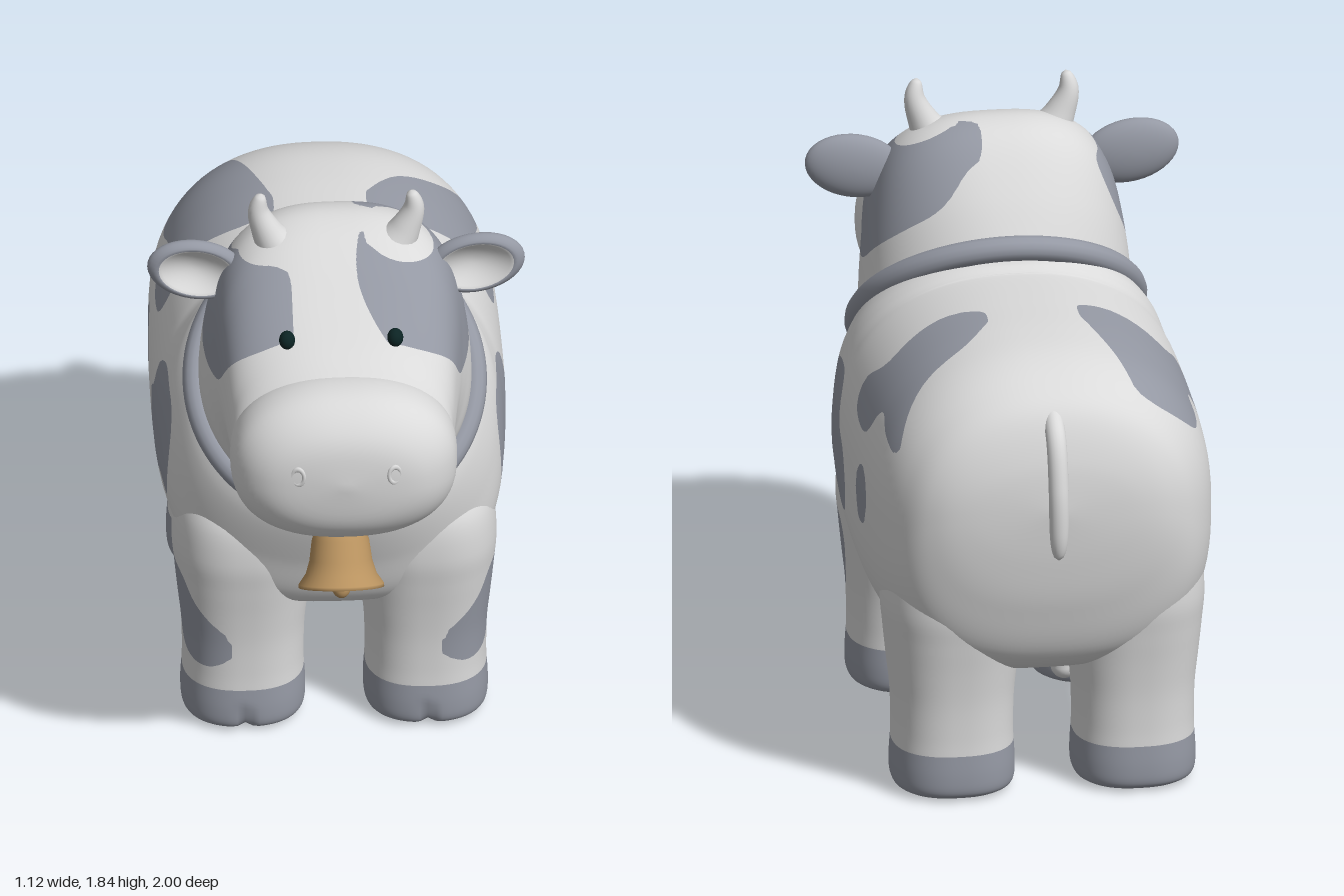
import * as THREE from 'three';
import { mergeVertices } from 'three/addons/utils/BufferGeometryUtils.js';

const material = (name, color) => Object.assign(new THREE.MeshStandardMaterial({ color }), { name });
const V = (x, y, z) => new THREE.Vector3(x, y, z);

// Welds seams and gives smooth normals
function smooth(geo) {
  geo.deleteAttribute('uv');
  geo.deleteAttribute('normal');
  const g = mergeVertices(geo, 1e-5);
  g.computeVertexNormals();
  return g;
}

// Skins cross-sections [topZ, topY, bottomZ, bottomY, halfWidth, upperPower, lowerPower]
function loft(rings, steps = 5, sides = 72) {
  const pos = [], index = [], n = (rings.length - 1) * steps;
  const spline = (a, b, c, d, t) =>
    b + 0.5 * t * (c - a + t * (2 * a - 5 * b + 4 * c - d + t * (3 * (b - c) + d - a)));
  const at = (i) => rings[Math.max(0, Math.min(rings.length - 1, i))];
  for (let i = 0; i <= n; i++) {
    const k = Math.min(Math.floor(i / steps), rings.length - 2), t = i / steps - k;
    const [tz, ty, bz, by, w, pu, pl] =
      at(k).map((v, c) => spline(at(k - 1)[c], v, at(k + 1)[c], at(k + 2)[c], t));
    for (let j = 0; j < sides; j++) {
      const a = (j / sides) * Math.PI * 2, c = Math.cos(a), s = Math.sin(a);
      const e = 2 / (s >= 0 ? pu : pl);
      const u = Math.sign(s) * Math.abs(s) ** e;
      pos.push(w * Math.sign(c) * Math.abs(c) ** e,
        (ty + by) / 2 + (u * (ty - by)) / 2, (tz + bz) / 2 + (u * (tz - bz)) / 2);
      if (i < n) {
        const p = i * sides + j, q = i * sides + ((j + 1) % sides);
        index.push(p, q, p + sides, q, q + sides, p + sides);
      }
    }
  }
  const g = new THREE.BufferGeometry();
  g.setAttribute('position', new THREE.Float32BufferAttribute(pos, 3));
  g.setIndex(index);
  return smooth(g);
}

// Round tube whose radius follows a rule along its length
function sweep(points, radius, seg = 28, sides = 20) {
  const curve = new THREE.CatmullRomCurve3(points);
  const g = new THREE.TubeGeometry(curve, seg, 1, sides), p = g.attributes.position;
  for (let i = 0; i < p.count; i++) {
    const t = Math.floor(i / (sides + 1)) / seg, c = curve.getPointAt(t);
    const v = V().fromBufferAttribute(p, i).sub(c).multiplyScalar(radius(t)).add(c);
    p.setXYZ(i, v.x, v.y, v.z);
  }
  return smooth(g);
}

// Cuts the surface where the field changes sign: group 0 outside, group 1 inside
function paint(geo, field) {
  const src = geo.toNonIndexed(), P = src.attributes.position, N = src.attributes.normal;
  const out = [[], []];
  for (let i = 0; i < P.count; i += 3) {
    const tri = [i, i + 1, i + 2].map((k) => {
      const p = [P.getX(k), P.getY(k), P.getZ(k)];
      return [...p, N.getX(k), N.getY(k), N.getZ(k), field(...p) || 1e-6];
    });
    [-1, 1].forEach((sign, side) => {
      const poly = [];
      tri.forEach((a, k) => {
        const b = tri[(k + 1) % 3];
        if (a[6] * sign > 0) poly.push(a);
        if (a[6] * b[6] < 0) poly.push(a.map((v, c) => v + ((b[c] - v) * a[6]) / (a[6] - b[6])));
      });
      for (let k = 1; k < poly.length - 1; k++) out[side].push(poly[0], poly[k], poly[k + 1]);
    });
  }
  const all = [...out[0], ...out[1]], g = new THREE.BufferGeometry();
  g.setAttribute('position', new THREE.Float32BufferAttribute(all.flatMap((v) => v.slice(0, 3)), 3));
  g.setAttribute('normal', new THREE.Float32BufferAttribute(all.flatMap((v) => v.slice(3, 6)), 3));
  g.addGroup(0, out[0].length, 0);
  g.addGroup(out[0].length, out[1].length, 1);
  return g;
}

// Rounded outline in (z, y); returns signed distance, positive inside
function spot(outline) {
  const pts = new THREE.CatmullRomCurve3(outline.map(([z, y]) => V(z, y, 0)), true).getPoints(60);
  return (z, y) => {
    let best = 9, inside = false;
    for (let i = 0; i < 60; i++) {
      const a = pts[i], b = pts[i + 1], dx = b.x - a.x, dy = b.y - a.y;
      const t = Math.max(0, Math.min(1, ((z - a.x) * dx + (y - a.y) * dy) / (dx * dx + dy * dy || 1)));
      best = Math.min(best, (z - a.x - t * dx) ** 2 + (y - a.y - t * dy) ** 2);
      if (a.y > y !== b.y > y && z < a.x + ((y - a.y) * dx) / dy) inside = !inside;
    }
    return inside ? Math.sqrt(best) : -Math.sqrt(best);
  };
}

export function createModel() {
  const pale = material('pale hide', 0xdadada), grey = material('grey patches', 0x9498a3);
  const brass = material('brass', 0xb8925f), dark = material('dark eyes', 0x0c2424);
  const model = new THREE.Group();
  const add = (name, geo, mat, parent = model) => {
    const mesh = new THREE.Mesh(geo, mat);
    mesh.name = name;
    parent.add(mesh);
    return mesh;
  };

  // Hide patches
  const shoulder = spot([[.235, .97], [.19, 1.035], [.085, 1.065], [-.02, 1.035], [-.065, .93], [-.155, .865],
    [-.187, .78], [-.155, .69], [-.05, .66], [.06, .71], [.19, .7], [.235, .78]]);
  const flank = spot([[-.39, .86], [-.42, .93], [-.48, .95], [-.54, .9], [-.535, .8], [-.46, .77], [-.41, .79]]);
  const rumpFront = [[-.61, 1.1], [-.5, 1.13], [-.45, 1.05], [-.37, 1.03], [-.25, 1.06], [-.23, 1.13], [-.315, 1.21]];
  const leftRump = spot([[-.29, 1.345], [-.53, 1.335], [-.61, 1.25], [-.73, 1.08], ...rumpFront]);
  const rightRump = spot([[-.29, 1.345], [-.53, 1.36], [-.7, 1.32], [-.78, 1.22], [-.7, 1.1], ...rumpFront]);
  const foreleg = spot([[.33, .515], [.22, .53], [.18, .46], [.22, .33], [.3, .24], [.39, .22], [.41, .33], [.37, .44]]);
  const hide = (x, y, z) => Math.max(
    Math.min(Math.max(shoulder(z, y), flank(z, y)), Math.abs(x) - 0.1),
    x > 0 ? Math.min(leftRump(z, y), x - 0.12)
      : Math.min(rightRump(z, y), -x - 0.15 - 0.3 * Math.max(0, -0.4 - z)),
    Math.min(foreleg(z, y), Math.abs(x) - 0.31 - 0.4 * Math.max(0, y - 0.3)));
  const leftFace = spot([[.67, 1.5], [.61, 1.6], [.52, 1.65], [.44, 1.69], [.36, 1.72], [.2, 1.72], [.11, 1.61],
    [.08, 1.52], [.11, 1.46], [.2, 1.37], [.28, 1.31], [.42, 1.29], [.55, 1.32], [.63, 1.42]]);
  const rightFace = spot([[.66, 1.5], [.6, 1.57], [.5, 1.64], [.38, 1.66], [.3, 1.62], [.22, 1.6], [.2, 1.45],
    [.28, 1.33], [.42, 1.29], [.55, 1.32], [.63, 1.42]]);
  const face = (x, y, z) => Math.min(
    x > 0 ? Math.min(leftFace(z, y), x - 0.05 - 2 * Math.max(0, z - 0.46) ** 2)
      : Math.min(rightFace(z, y), -x - 0.14),
    Math.hypot(Math.abs(x) - 0.19, y - 1.7, z - 0.35) - 0.115);

  // Torso, from rump to collar
  add('body', paint(loft([
    [-.945, .95, -.945, .95, 0, 2.2, 2.2], [-.925, 1.1, -.93, .78, .25, 2.2, 2.2],
    [-.87, 1.235, -.9, .62, .375, 2.2, 2.4], [-.78, 1.305, -.835, .45, .45, 2.3, 2.6],
    [-.66, 1.35, -.7, .37, .498, 2.3, 2.7], [-.5, 1.367, -.5, .34, .515, 2.3, 2.8],
    [-.3, 1.37, -.3, .345, .52, 2.3, 3], [-.1, 1.37, 0, .36, .52, 2.3, 2.9],
    [-.07, 1.375, .25, .385, .51, 2.3, 2.7], [-.05, 1.385, .4, .45, .5, 2.3, 2.7],
    [-.04, 1.395, .47, .62, .48, 2.2, 2.5], [-.03, 1.41, .52, .76, .445, 2.1, 2.3],
    [-.02, 1.42, .54, .86, .41, 2, 2]], 9, 96), hide), [pale, grey]);

  // Head, from collar to a closed end buried in the muzzle
  add('head', paint(loft([
    [-.03, 1.41, .54, .86, .405, 2, 2], [.06, 1.56, .58, .89, .4, 2.3, 2.2],
    [.17, 1.69, .61, .92, .385, 2.6, 2.3], [.27, 1.735, .65, .95, .37, 2.7, 2.4],
    [.37, 1.72, .68, .965, .36, 2.7, 2.4], [.47, 1.665, .71, .975, .35, 2.7, 2.4],
    [.58, 1.585, .74, .975, .34, 2.7, 2.4], [.68, 1.51, .77, .975, .33, 2.5, 2.4],
    [.76, 1.455, .8, .975, .32, 2.3, 2.3], [.82, 1.4, .83, 1.02, .27, 2.2, 2.2],
    [.84, 1.21, .84, 1.21, 0, 2.2, 2.2]], 7, 96), face), [pale, grey]);
  add('muzzle', loft([
    [.66, 1.4, .66, 1, .29, 2.3, 2.3], [.74, 1.445, .74, .97, .328, 2.3, 2.3],
    [.82, 1.455, .82, .96, .335, 2.35, 2.35], [.89, 1.438, .89, .975, .32, 2.35, 2.35],
    [.95, 1.388, .95, 1.022, .266, 2.3, 2.3], [.985, 1.32, .985, 1.09, .178, 2.2, 2.2],
    [1, 1.21, 1, 1.21, 0, 2.2, 2.2]]), pale);

  // Legs, whose tops melt into shoulder and haunch, and cloven hooves
  const ring = (y, depth, width = depth * 0.98) => [depth, y, -depth, y, width, 2.4, 2.4];
  for (const [end, z] of [['front', .225], ['back', -.635]]) for (const s of [1, -1]) {
    const leg = loft([ring(.82, .15), ring(.72, .21, .195), ring(.6, .222, .21), ring(.5, .21, .203),
      ring(.4, .196, .193), ring(.3, .186), ring(.2, .183), ring(.145, .184)]);
    add(end + 'Leg', paint(leg.translate(s * 0.27, 0, z), hide), [pale, grey]);
    const hoof = loft([ring(.145, .184), ring(.08, .188), ring(.03, .185), ring(.01, .168), ring(0, .13), ring(0, 0)]);
    const p = hoof.attributes.position;
    for (let i = 0; i < p.count; i++) {
      const depth = 0.03 * Math.exp(-((p.getX(i) / 0.018) ** 2)) * Math.max(0, 1 - p.getY(i) / 0.1);
      if (p.getZ(i) > 0.1) p.setZ(i, p.getZ(i) - depth);
    }
    hoof.computeVertexNormals();
    add(end + 'Hoof', hoof.translate(s * 0.27, 0, z), grey);
  }

  // Ears, horns, eyes, nostrils and teats, in pairs
  for (const s of [1, -1]) {
    const ear = new THREE.SphereGeometry(1, 40, 28).rotateX(Math.PI / 2), p = ear.attributes.position;
    for (let i = 0; i < p.count; i++) {
      const x = p.getX(i), y = p.getY(i), z = p.getZ(i);
      const cup = z > 0 ? 0.06 * Math.max(0, 1 - (x * x + y * y) / 0.65) : 0;
      p.setXYZ(i, x * 0.148, y * 0.098, z * 0.047 - cup);
    }
    const inner = (x, y, z) => {
      const r2 = (x / 0.148) ** 2 + (y / 0.098) ** 2;
      return Math.min(0.6 - r2, 20 * (z + 0.033 * Math.sqrt(Math.max(0, 1 - r2))));
    };
    const e = add('ear', paint(smooth(ear), inner), [grey, pale]);
    e.position.set(s * 0.412, 1.577, 0.345);
    e.rotation.z = s * 0.2;

    add('horn', sweep([V(s * .16, 1.63, .35), V(s * .205, 1.71, .35), V(s * .23, 1.78, .35), V(s * .222, 1.84, .355)],
      (t) => 0.052 * Math.max(0, 1 - t) ** 0.4 + 0.03 * (1 - t) ** 4), pale);
    const eye = add('eye', new THREE.SphereGeometry(0.027, 20, 14), dark);
    eye.scale.set(0.88, 1.05, 1);
    eye.position.set(s * 0.16, 1.52, 0.66);
    const nostril = add('nostril', new THREE.TorusGeometry(0.018, 0.006, 10, 24), pale);
    nostril.scale.y = 1.45;
    nostril.position.set(s * 0.143, 1.245, 0.985);
    nostril.rotation.y = s * 0.25;
    const teat = add('teat', new THREE.CapsuleGeometry(0.04, 0.1, 8, 20), pale);
    teat.position.set(s * 0.12, 0.255, -0.28);
  }
  const udder = add('udder', new THREE.SphereGeometry(1, 32, 20), pale);
  udder.scale.set(0.18, 0.1, 0.17);
  udder.position.set(0, 0.375, -0.32);

  // Tail hanging from the rump
  add('tail', sweep([V(0, 1.23, -.83), V(0, 1.17, -.915), V(0, 1.03, -.962), V(0, .9, -.97), V(0, .81, -.965)],
    (t) => 0.03 * Math.sqrt(Math.max(0, 1 - t ** 10)), 40), pale);

  // Collar, a slanted loop round the neck
  const loop = Array.from({ length: 24 }, (_, i) => {
    const a = (i / 24) * Math.PI * 2;
    return V(0.412 * Math.cos(a), 1.138 + 0.296 * Math.sin(a), 0.265 - 0.292 * Math.sin(a));
  });
  add('collar', new THREE.TubeGeometry(new THREE.CatmullRomCurve3(loop, true), 96, 0.038, 14, true), grey);

  // Bell tilted forward under the collar
  const bell = new THREE.Group();
  bell.name = 'bell';
  bell.position.set(0, 0.842, 0.582);
  bell.rotation.x = -0.45;
  model.add(bell);
  const profile = [[0, -.04], [.06, -.05], [.078, -.12], [.1, -.17], [.118, -.2], [.127, -.2], [.126, -.19],
    [.105, -.16], [.093, -.12], [.085, -.06], [.074, -.025], [.05, -.004], [0, 0]];
  add('bellShell', new THREE.LatheGeometry(profile.map(([r, y]) => new THREE.Vector2(r, y)), 40), brass, bell);
  const clapper = add('clapper', new THREE.SphereGeometry(0.03, 20, 14), brass, bell);
  clapper.position.y = -0.195;
  clapper.scale.y = 1.3;
  add('bellLoop', new THREE.TorusGeometry(0.022, 0.009, 10, 24), brass, bell).position.y = 0.012;

  return model;
}
